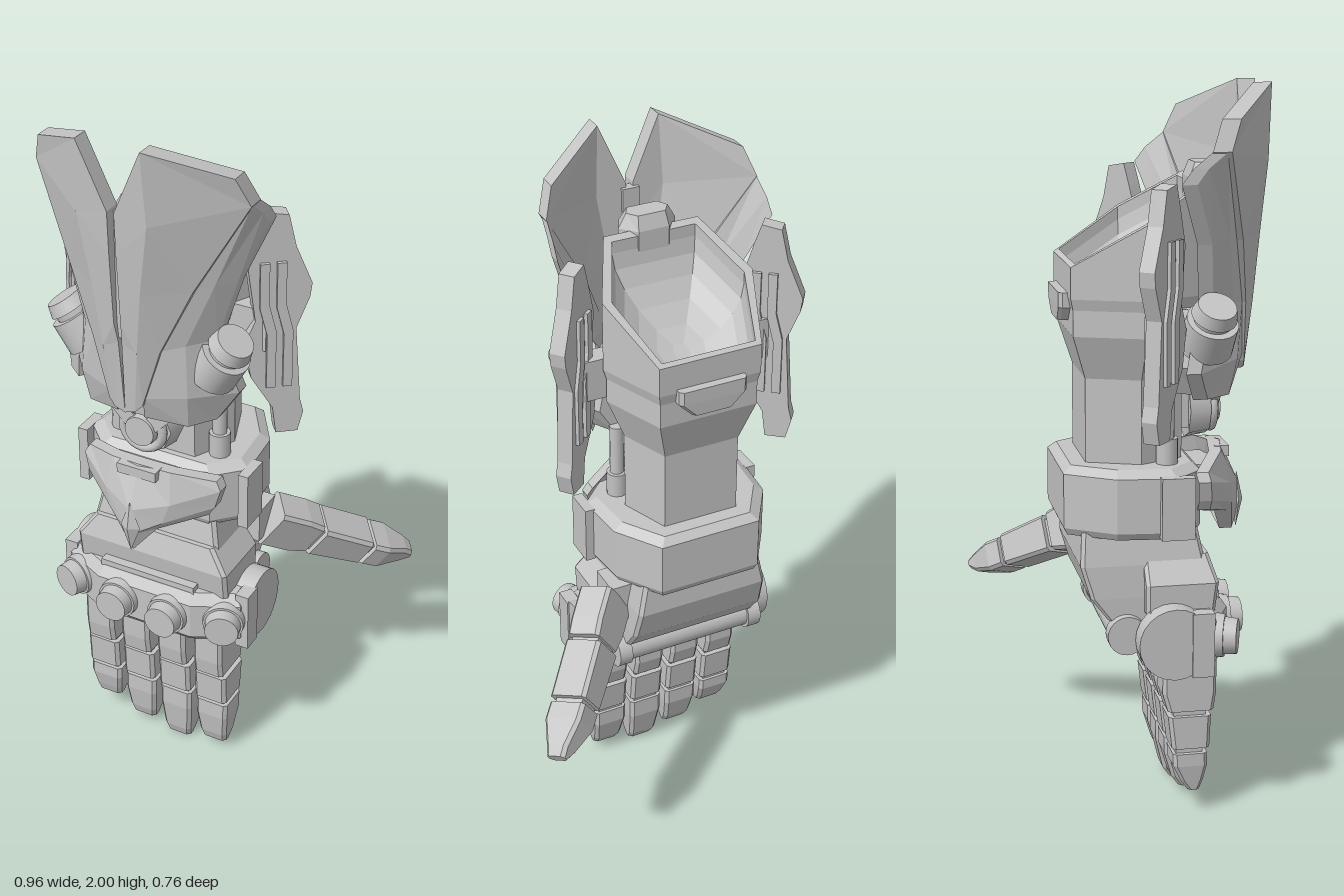
import * as THREE from 'three';

const steel = new THREE.MeshStandardMaterial({ color: 0xc4c4c4, side: THREE.DoubleSide });
steel.name = 'steel grey';

function add(parent, name, geo, x = 0, y = 0, z = 0) {
  const m = new THREE.Mesh(geo, steel);
  m.name = name;
  m.position.set(x, y, z);
  parent.add(m);
  return m;
}

function fromTriangles(tris) {
  const g = new THREE.BufferGeometry();
  g.setAttribute('position', new THREE.Float32BufferAttribute(tris.flat(2), 3));
  g.computeVertexNormals();
  return g;
}

// Closed solid through rings of points, listed bottom to top
function loft(rings) {
  const t = [], n = rings[0].length;
  for (let i = 0; i + 1 < rings.length; i++) {
    for (let j = 0; j < n; j++) {
      const k = (j + 1) % n;
      const a = rings[i][j], b = rings[i][k], c = rings[i + 1][k], d = rings[i + 1][j];
      t.push([a, d, c], [a, c, b]);
    }
  }
  const bot = rings[0], top = rings.at(-1);
  for (let j = 1; j + 1 < n; j++) t.push([bot[0], bot[j], bot[j + 1]], [top[0], top[j + 1], top[j]]);
  return fromTriangles(t);
}

// Symmetric ring from half-section points [x, z], back to front
const ring = (half, y, s = 1, slope = 0) => [...half, ...half.toReversed().map(([x, z]) => [-x, z])]
  .map(([x, z]) => [x * s, y + slope * z * s, z * s]);

// Rectangle with cut corners
function block(w, y, z0, z1, cut = 0.01) {
  const h = w / 2;
  return ring([[h - cut, z0], [h, z0 + cut], [h, z1 - cut], [h - cut, z1]], y);
}

// Thick sheet from a grid of front points, rows listed from top to bottom
function sheet(rows, depth) {
  const back = rows.map(r => r.map(([x, y, z]) => [x, y, z - depth]));
  const t = [], R = rows.length - 1, C = rows[0].length - 1;
  const quad = (a, b, c, d) => t.push([a, b, c], [a, c, d]);
  for (let i = 0; i < R; i++) {
    for (let j = 0; j < C; j++) {
      quad(rows[i][j], rows[i + 1][j], rows[i + 1][j + 1], rows[i][j + 1]);
      quad(back[i][j], back[i][j + 1], back[i + 1][j + 1], back[i + 1][j]);
    }
    quad(rows[i][0], back[i][0], back[i + 1][0], rows[i + 1][0]);
    quad(rows[i][C], rows[i + 1][C], back[i + 1][C], back[i][C]);
  }
  for (let j = 0; j < C; j++) {
    quad(rows[0][j], rows[0][j + 1], back[0][j + 1], back[0][j]);
    quad(rows[R][j], back[R][j], back[R][j + 1], rows[R][j + 1]);
  }
  return fromTriangles(t);
}

const box = (w, h, d) => new THREE.BoxGeometry(w, h, d);
const cyl = (r0, r1, h, n = 24) => new THREE.CylinderGeometry(r0, r1, h, n);
const alongX = (r, h) => cyl(r, r, h).rotateZ(Math.PI / 2);
const alongZ = (r0, r1, h, n) => cyl(r0, r1, h, n).rotateX(Math.PI / 2);

function plate(points, depth) {
  const s = new THREE.Shape(points.map(p => new THREE.Vector2(...p)));
  return new THREE.ExtrudeGeometry(s, { depth, bevelEnabled: false }).translate(0, 0, -depth / 2);
}

// Three-part digit hanging down from its origin; tip is the relative width of its end
function digit(name, w, d, l1, l2, l3, tip) {
  const g = new THREE.Group();
  g.name = name;
  const h = d / 2, a = -l1, b = a - l2, c = b - l3;
  add(g, 'lower segment', loft([block(w * 0.9, a + 0.008, -h * 0.8, h * 0.9), block(w * 0.9, a + 0.06, -h, h), block(w * 0.9, 0, -h, h)]));
  add(g, 'first joint', box(w * 0.75, 0.05, d * 0.6), 0, a, 0);
  add(g, 'middle segment', loft([block(w, b + 0.01, -h * 0.65, h * 0.75), block(w, a - 0.006, -h * 0.8, h * 0.8)]));
  add(g, 'second joint', box(w * 0.75, 0.05, d * 0.5), 0, b, 0);
  add(g, 'finger tip', loft([block(w * tip, c, -h * 0.02, h * 0.42), block(w * (tip + 0.1), c + 0.03, -h * 0.3, h * 0.55),
    block(w, b - l3 * 0.35, -h * 0.6, h * 0.68), block(w, b - 0.006, -h * 0.62, h * 0.66)]));
  return g;
}

// Armour that repeats on both sides
function side() {
  const g = new THREE.Group();
  g.name = 'sideArmour';
  add(g, 'shield blade', sheet([
    [[0.01, 1.82, 0.372], [0.09, 2, 0.378], [0.28, 1.92, 0.25]],
    [[0.01, 1.7, 0.368], [0.1, 1.8, 0.37], [0.31, 1.84, 0.22]],
    [[0.01, 1.5, 0.356], [0.07, 1.6, 0.358], [0.18, 1.6, 0.285]],
    [[0.005, 1.44, 0.345], [0.05, 1.42, 0.347], [0.1, 1.42, 0.315]],
    [[0, 1.22, 0.33], [0.03, 1.23, 0.33], [0.05, 1.25, 0.325]]], 0.05));
  add(g, 'shield wing', sheet([
    [[0.308, 1.84, 0.21], [0.313, 1.8, 0.16], [0.315, 1.76, 0.13]],
    [[0.17, 1.6, 0.275], [0.22, 1.61, 0.24], [0.255, 1.6, 0.185]],
    [[0.1, 1.42, 0.305], [0.15, 1.43, 0.27], [0.205, 1.43, 0.2]],
    [[0.05, 1.27, 0.32], [0.16, 1.28, 0.28], [0.25, 1.26, 0.16]],
    [[0.04, 1.2, 0.3], [0.15, 1.18, 0.26], [0.2, 1.18, 0.19]]], 0.04));

  // Angled cap on the shield
  const knob = new THREE.Group();
  knob.name = 'knob';
  knob.position.set(0.205, 1.36, 0.19);
  knob.quaternion.setFromUnitVectors(new THREE.Vector3(0, 1, 0), new THREE.Vector3(0.55, 0.82, 0.1).normalize());
  add(knob, 'knob base', cyl(0.07, 0.075, 0.09));
  add(knob, 'knob neck', cyl(0.052, 0.052, 0.03), 0, 0.052, 0);
  add(knob, 'knob cap', cyl(0.052, 0.062, 0.035), 0, 0.08, 0);
  g.add(knob);

  // Diagonal side fin with raised rails
  const fin = new THREE.Group();
  fin.name = 'sideFin';
  fin.position.set(0.22, 0, 0.11);
  fin.rotation.y = 0.68;
  add(fin, 'fin plate', plate([[0.05, 1.7], [0.07, 1.76], [0.125, 1.75], [0.145, 1.66], [0.19, 1.55], [0.185, 1.51], [0.15, 1.42],
    [0.165, 1.2], [0.175, 1.16], [0.16, 1.1], [0.1, 1.1], [0.09, 1.18], [0.03, 1.28], [0.01, 1.38], [0.04, 1.45], [0.02, 1.6]], 0.045));
  for (const x of [0, 0.045]) {
    add(fin, 'fin rail', plate([[0.05 + x, 1.62], [0.075 + x, 1.62], [0.075 + x, 1.5], [0.095 + x, 1.42], [0.095 + x, 1.25],
      [0.07 + x, 1.25], [0.07 + x, 1.41], [0.05 + x, 1.49]], 0.065));
  }
  g.add(fin);
  add(g, 'fin strut', box(0.14, 0.12, 0.06), 0.22, 1.42, 0.06);

  // Wrist rod, wrist prong and valve arm
  add(g, 'wrist rod', cyl(0.02, 0.02, 0.24, 12), 0.155, 1.1, 0.09);
  add(g, 'rod socket', cyl(0.03, 0.03, 0.08, 12), 0.155, 1.03, 0.09);
  add(g, 'wrist prong', box(0.03, 0.17, 0.09), 0.255, 0.9, 0.1);
  add(g, 'valve arm', box(0.045, 0.13, 0.05), 0.075, 1.19, 0.23).rotation.z = -0.75;

  // Knuckle pivot and studs that follow the curved knuckle plate
  add(g, 'knuckle disc', alongX(0.1, 0.06), 0.265, 0.53, 0.09);
  add(g, 'knuckle flange', box(0.04, 0.18, 0.06), 0.28, 0.525, 0.165);
  add(g, 'hinge bar collar', alongX(0.054, 0.04), 0.21, 0.54, -0.03);
  for (const [x, z, yaw] of [[0.08, 0.265, 0], [0.237, 0.222, 0.35]]) {
    const stud = new THREE.Group();
    stud.name = 'knuckleStud';
    stud.position.set(x, 0.53, z);
    stud.rotation.y = yaw;
    add(stud, 'stud base', alongZ(0.058, 0.062, 0.03));
    add(stud, 'stud face', alongZ(0.048, 0.052, 0.04), 0, 0, 0.03);
    g.add(stud);
  }
  return g;
}

export function createModel() {
  const model = new THREE.Group();
  model.name = 'gauntlet';
  const hand = new THREE.Group();
  hand.name = 'armouredHand';
  hand.position.x = -0.1;
  model.add(hand);

  const left = side(), right = side();
  right.scale.x = -1;
  hand.add(left, right);

  // Shield spine and the hull that joins shield and forearm
  add(hand, 'shield spine', box(0.05, 0.36, 0.03), 0, 1.63, 0.325);
  add(hand, 'shield hull', loft([ring([[0.15, 0.1], [0.19, 0.17], [0.14, 0.24], [0.04, 0.28]], 1.19),
    ring([[0.2, 0.1], [0.235, 0.15], [0.15, 0.25], [0.04, 0.29]], 1.27), ring([[0.17, 0.1], [0.19, 0.15], [0.12, 0.23], [0.04, 0.28]], 1.42)]));

  // Forearm with a slanted rim around a smooth bowl
  const outer = [[0.15, -0.168], [0.222, 0.025], [0.14, 0.19]];
  const inner = [[0.137, -0.155], [0.195, 0.02], [0.124, 0.172]];
  const bowl = [0, 0.3, 0.6, 0.9, 1.2, 1.45].map(a => ring(inner, 1.6 - 0.14 * Math.sin(a), Math.cos(a), 0.6));
  add(hand, 'forearm', loft([ring(outer, 0.98, 0.74), ring(outer, 1.23, 0.74), ring(outer, 1.35, 0.96), ring(outer, 1.42, 0.96),
    ring(outer, 1.45, 1), ring(outer, 1.635, 1, 0.6), ring(inner, 1.635, 1, 0.6), ...bowl]));
  add(hand, 'back clasp', loft([block(0.12, 1.38, -0.19, -0.12), block(0.2, 1.42, -0.192, -0.12), block(0.2, 1.46, -0.192, -0.12)]));
  const gem = [[0.045, 0.17], [0.085, 0.215], [0.06, 0.265]];
  const gemTop = [[0.04, 0.185], [0.062, 0.215], [0.045, 0.247]];
  add(hand, 'rim stud', loft([ring(gem, 1.68), ring(gem, 1.75), ring(gemTop, 1.79)]));

  // Round valve below the shield
  add(hand, 'valve mount', box(0.12, 0.12, 0.1), 0, 1.13, 0.14);
  add(hand, 'valve collar', alongZ(0.08, 0.09, 0.06, 8), 0, 1.12, 0.2);
  add(hand, 'valve ring', new THREE.TorusGeometry(0.06, 0.014, 8, 24), 0, 1.12, 0.24);
  add(hand, 'valve core', alongZ(0.044, 0.052, 0.05), 0, 1.12, 0.238);

  // Wrist ring with a bevelled top
  const cuff = [[0.15, -0.19], [0.235, -0.06], [0.25, 0.1], [0.17, 0.18]];
  add(hand, 'wrist ring', loft([ring(cuff, 0.81, 0.95), ring(cuff, 0.83), ring(cuff, 0.98), ring(cuff, 1.0, 0.88)]));

  // Folded crest over the wrist
  const crest = [
    [[0, 1.02, 0.27], [0.09, 1.01, 0.255], [0.2, 0.98, 0.195]],
    [[0, 0.9, 0.325], [0.1, 0.92, 0.28], [0.215, 0.955, 0.2]],
    [[0, 0.82, 0.33], [0.08, 0.86, 0.29], [0.2, 0.9, 0.205]],
    [[0, 0.76, 0.31], [0.06, 0.83, 0.28], [0.18, 0.87, 0.205]]];
  add(hand, 'wrist crest', sheet(crest.map(r => [...r.slice(1).reverse().map(([x, y, z]) => [-x, y, z]), ...r]), 0.035));
  add(hand, 'crest clip', box(0.12, 0.03, 0.04), 0, 1.0, 0.265);
  add(hand, 'crest mount', box(0.16, 0.1, 0.1), 0, 0.92, 0.2);
  add(hand, 'crest spike', new THREE.OctahedronGeometry(1).scale(0.03, 0.08, 0.018), 0, 0.845, 0.322);

  // Palm, rounding in towards the hinge bar, and back of the hand
  add(hand, 'palm', loft([block(0.4, 0.54, -0.03, 0.16), block(0.41, 0.58, -0.08, 0.18), block(0.41, 0.64, -0.125, 0.19),
    block(0.4, 0.73, -0.152, 0.19), block(0.36, 0.83, -0.145, 0.17)]));
  add(hand, 'hand guard', loft([block(0.48, 0.6, 0.02, 0.21), block(0.48, 0.68, 0.02, 0.22), block(0.38, 0.75, 0.02, 0.2)]));
  add(hand, 'guard plate', box(0.3, 0.025, 0.05), 0, 0.615, 0.215);
  add(hand, 'palm hinge bar', alongX(0.045, 0.44), 0, 0.54, -0.03);
  const knuckles = [[0.27, 0.03], [0.28, 0.2], [0.15, 0.262]];
  add(hand, 'knuckle block', loft([ring(knuckles, 0.44, 0.9), ring(knuckles, 0.47), ring(knuckles, 0.58), ring(knuckles, 0.61, 0.92)]));

  // Four fingers
  [0.07, 0.03, 0.004, 0.03].forEach((tip, i) => {
    const f = digit('finger', 0.102, 0.15, 0.16, 0.11, 0.19 - tip, 0.75);
    f.position.set(-0.18 + 0.12 * i, 0.46, 0.145);
    hand.add(f);
  });

  // Thumb reaching out, back and down, with a slight roll
  const thumb = digit('thumb', 0.115, 0.14, 0.155, 0.185, 0.16, 0.5);
  thumb.position.set(0.25, 0.735, -0.03);
  const axisY = new THREE.Vector3(-0.305, 0.24, 0.34).normalize();
  const axisX = new THREE.Vector3(-axisY.z, 0, axisY.x).normalize();
  thumb.quaternion.setFromRotationMatrix(new THREE.Matrix4().makeBasis(axisX, axisY, axisX.clone().cross(axisY)));
  thumb.rotateY(-0.35);
  hand.add(thumb);
  add(hand, 'thumb mount', box(0.1, 0.1, 0.1), 0.2, 0.74, -0.02);
  return model;
}
